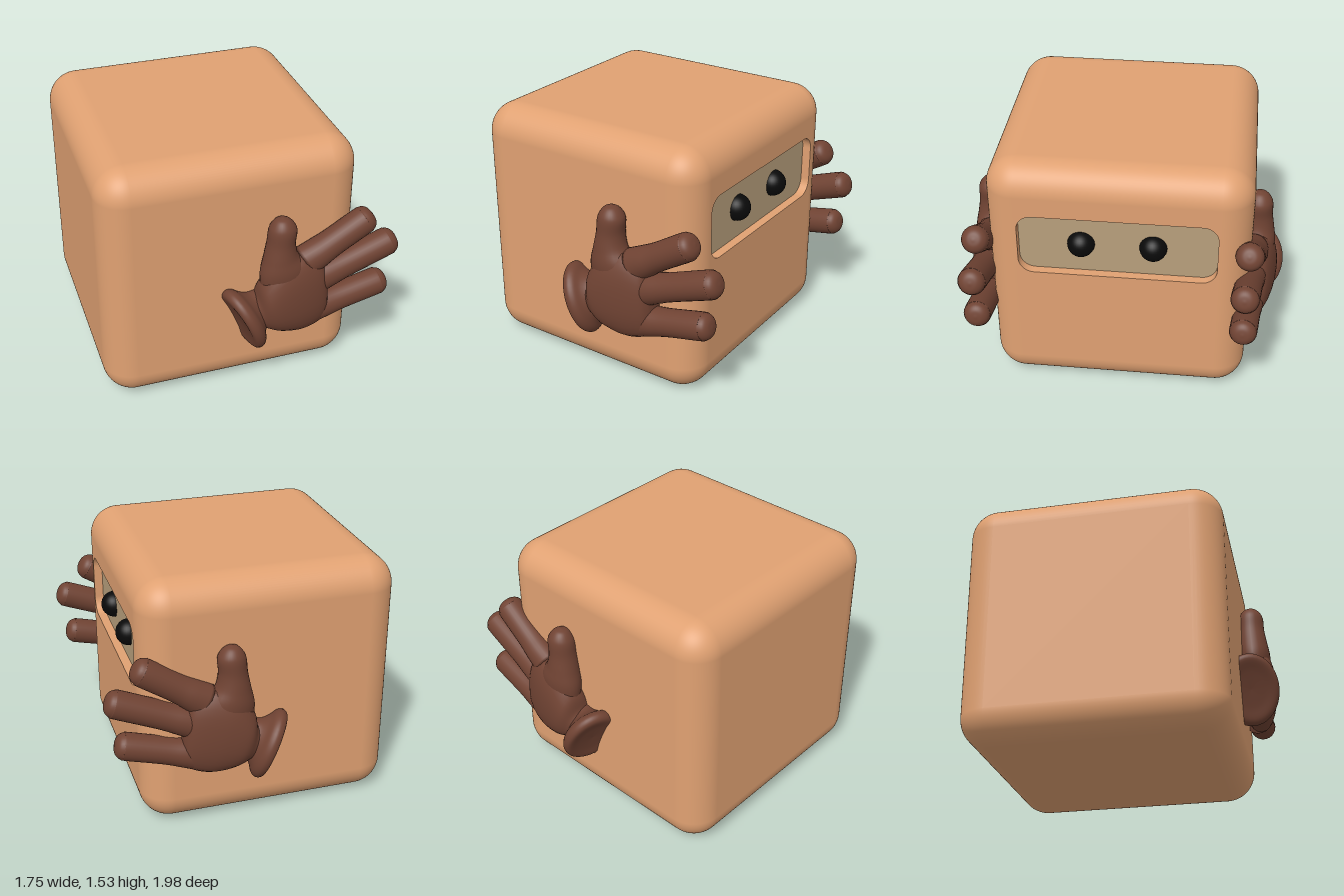
import * as THREE from 'three';
import { RoundedBoxGeometry } from 'three/addons/geometries/RoundedBoxGeometry.js';

const mat = (color) => new THREE.MeshStandardMaterial({ color });

function part(name, geometry, material) {
  const mesh = new THREE.Mesh(geometry, material);
  mesh.name = name;
  return mesh;
}

function roundedRect(target, cx, cy, hw, hh, r) {
  const q = Math.PI / 2;
  target.absarc(cx + hw - r, cy + hh - r, r, 0, q);
  target.absarc(cx - hw + r, cy + hh - r, r, q, 2 * q);
  target.absarc(cx - hw + r, cy - hh + r, r, 2 * q, 3 * q);
  target.absarc(cx + hw - r, cy - hh + r, r, 3 * q, 4 * q);
  target.closePath();
  return target;
}

// Smooth closed loft. Each section: [ax, ay, bx, by, zCentre, zHalf],
// where a and b are the two outline points of an oval ring.
function loft(sections, steps = 40, power = 1, sides = 28) {
  const curve = (f) => new THREE.CatmullRomCurve3(
    sections.map((s) => new THREE.Vector3(...f(s))), false, 'catmullrom', 0.5);
  const ca = curve((s) => [s[0], s[1], 0]);
  const cb = curve((s) => [s[2], s[3], 0]);
  const cz = curve((s) => [s[4], s[5], 0]);
  const bend = (v) => Math.sign(v) * Math.abs(v) ** power;
  const pos = [], index = [];
  const centre = [];
  for (let i = 0; i <= steps; i++) {
    const a = ca.getPoint(i / steps), b = cb.getPoint(i / steps), z = cz.getPoint(i / steps);
    const m = a.clone().add(b).multiplyScalar(0.5);
    centre.push([m.x, m.y, z.x]);
    for (let j = 0; j < sides; j++) {
      const t = (j / sides) * Math.PI * 2;
      const c = bend(Math.cos(t)), s = bend(Math.sin(t));
      pos.push(m.x + (a.x - m.x) * c, m.y + (a.y - m.y) * c, z.x + z.y * s);
    }
  }
  for (let i = 0; i < steps; i++) {
    for (let j = 0; j < sides; j++) {
      const k = (j + 1) % sides, p = i * sides, q = p + sides;
      index.push(p + j, p + k, q + k, p + j, q + k, q + j);
    }
  }
  const first = pos.length / 3, last = steps * sides;
  pos.push(...centre[0], ...centre[steps]);
  for (let j = 0; j < sides; j++) {
    const k = (j + 1) % sides;
    index.push(first, k, j, first + 1, last + j, last + k);
  }
  const g = new THREE.BufferGeometry();
  g.setAttribute('position', new THREE.Float32BufferAttribute(pos, 3));
  g.setIndex(index);
  g.computeVertexNormals();
  return g;
}

// Blunt finger from its root to the centre of its tip, flared at the root
function finger(x0, y0, x1, y1, r) {
  const len = Math.hypot(x1 - x0, y1 - y0);
  const dx = (x1 - x0) / len, dy = (y1 - y0) / len;
  const rows = [
    [0, 1.25], [0.25 * len, 1.1], [0.5 * len, 1], [len, 1], [len + 0.35 * r, 0.95],
    [len + 0.65 * r, 0.8], [len + 0.85 * r, 0.5], [len + 0.92 * r, 0.08],
  ];
  return loft(rows.map(([s, k]) => {
    const x = x0 + dx * s, y = y0 + dy * s, w = r * k;
    return [x - dy * w, y + dx * w, x + dy * w, y - dx * w, 0.82, Math.min(w, 1.06 * r)];
  }));
}

function handParts() {
  const palm = loft([
    [-0.03, 0.62, 0.03, 0.44, 0.81, 0.09],
    [0.0, 0.65, 0.055, 0.43, 0.82, 0.1],
    [0.025, 0.75, 0.14, 0.4, 0.84, 0.115],
    [0.12, 0.87, 0.26, 0.38, 0.845, 0.115],
    [0.25, 0.91, 0.36, 0.395, 0.84, 0.105],
    [0.36, 0.88, 0.42, 0.43, 0.83, 0.088],
    [0.41, 0.8, 0.44, 0.5, 0.82, 0.06],
    [0.43, 0.7, 0.44, 0.6, 0.82, 0.02],
  ], 48, 0.9);
  const thumb = loft([
    [0.03, 0.68, 0.34, 0.7, 0.835, 0.09],
    [0.02, 0.8, 0.3, 0.84, 0.835, 0.1],
    [0.04, 0.9, 0.245, 0.92, 0.83, 0.092],
    [0.06, 1.0, 0.228, 1.0, 0.825, 0.083],
    [0.068, 1.08, 0.234, 1.08, 0.825, 0.08],
    [0.083, 1.12, 0.22, 1.12, 0.825, 0.068],
    [0.11, 1.152, 0.19, 1.152, 0.825, 0.04],
    [0.145, 1.164, 0.157, 1.164, 0.825, 0.006],
  ]);

  // Flared cuff, an oval lathe turned along the forearm
  const profile = new THREE.SplineCurve([
    [0.001, 0], [0.5, -0.005], [0.88, -0.012], [1, 0.02], [0.93, 0.055],
    [0.73, 0.085], [0.57, 0.125], [0.5, 0.18],
  ].map(([r, y]) => new THREE.Vector2(r, y))).getPoints(36);
  const cuff = new THREE.LatheGeometry(profile, 40).scale(0.22, 1, 0.175);
  const axis = new THREE.Vector3(0.9, 0.37, -0.25).normalize();
  const across = new THREE.Vector3(0.37, -0.9, 0).normalize();
  cuff.applyMatrix4(new THREE.Matrix4()
    .makeBasis(across, axis, across.clone().cross(axis))
    .setPosition(-0.095, 0.495, 0.825));

  return {
    palm, thumb, cuff,
    upperFinger: finger(0.3, 0.83, 0.64, 1.04, 0.083),
    middleFinger: finger(0.32, 0.68, 0.795, 0.86, 0.083),
    lowerFinger: finger(0.32, 0.482, 0.75, 0.585, 0.082),
  };
}

// Mirror across z = 0, keeping faces outward
function mirrorZ(geometry) {
  const g = geometry.clone().scale(1, 1, -1);
  const ix = g.index.array;
  for (let i = 0; i < ix.length; i += 3) [ix[i], ix[i + 1]] = [ix[i + 1], ix[i]];
  return g;
}

export function createModel() {
  const root = new THREE.Group();
  root.name = 'boxCreature';
  const skin = mat(0xe0a172), brown = mat(0x704333);
  const panelMat = mat(0xb89f7c), black = mat(0x0a0a0a);

  // Rounded cube, left open on the flat of its face side
  const size = 1.53, depth = 1.535, radius = 0.18, recess = 0.055;
  const cx = -0.11, cy = size / 2, faceX = cx + size / 2;
  const shell = new RoundedBoxGeometry(size, size, depth, 8, radius);
  const keep = { position: [], normal: [] };
  const p = shell.attributes.position;
  for (let i = 0; i < p.count; i += 3) {
    if ([0, 1, 2].every((k) => p.getX(i + k) > size / 2 - 1e-5)) continue;
    for (const key of ['position', 'normal']) {
      const a = shell.attributes[key].array;
      for (let k = 0; k < 9; k++) keep[key].push(a[i * 3 + k]);
    }
  }
  const body = new THREE.BufferGeometry();
  for (const key of ['position', 'normal']) {
    body.setAttribute(key, new THREE.Float32BufferAttribute(keep[key], 3));
  }
  root.add(part('body', body.translate(cx, cy, 0), skin));

  // Face plate with the visor opening
  const hw = depth / 2 - radius, hh = size / 2 - radius;
  const plate = new THREE.Shape();
  plate.moveTo(-hw, -hh).lineTo(hw, -hh).lineTo(hw, hh).lineTo(-hw, hh).closePath();
  const opening = (target) => roundedRect(target, 0, 0.27, 0.577, 0.195, 0.09);
  plate.holes.push(opening(new THREE.Path()));
  const plateGeo = new THREE.ExtrudeGeometry(plate, { depth: recess, bevelEnabled: false, curveSegments: 10 });
  plateGeo.rotateY(Math.PI / 2).translate(faceX - recess, cy, 0);
  root.add(part('facePlate', plateGeo, skin));

  // Recessed panel and eyes
  const panel = new THREE.ShapeGeometry(opening(new THREE.Shape()), 10);
  panel.rotateY(Math.PI / 2).translate(faceX - recess + 0.001, cy, 0);
  root.add(part('visorPanel', panel, panelMat));
  for (const [name, z] of [['leftEye', -0.205], ['rightEye', 0.213]]) {
    const eye = part(name, new THREE.SphereGeometry(0.08, 32, 20), black);
    eye.position.set(faceX - recess, 1.03, z);
    root.add(eye);
  }

  // Hands on both sides; the far one is turned slightly inward
  const parts = handParts();
  const near = new THREE.Group(), far = new THREE.Group();
  near.name = 'nearHand';
  far.name = 'farHand';
  const pivot = new THREE.Vector3(-0.09, 0, -0.83);
  far.position.copy(pivot);
  far.rotation.y = -0.085;
  for (const [name, g] of Object.entries(parts)) {
    near.add(part(name, g, brown));
    far.add(part(name, mirrorZ(g).translate(-pivot.x, 0, -pivot.z), brown));
  }
  root.add(near, far);
  return root;
}
